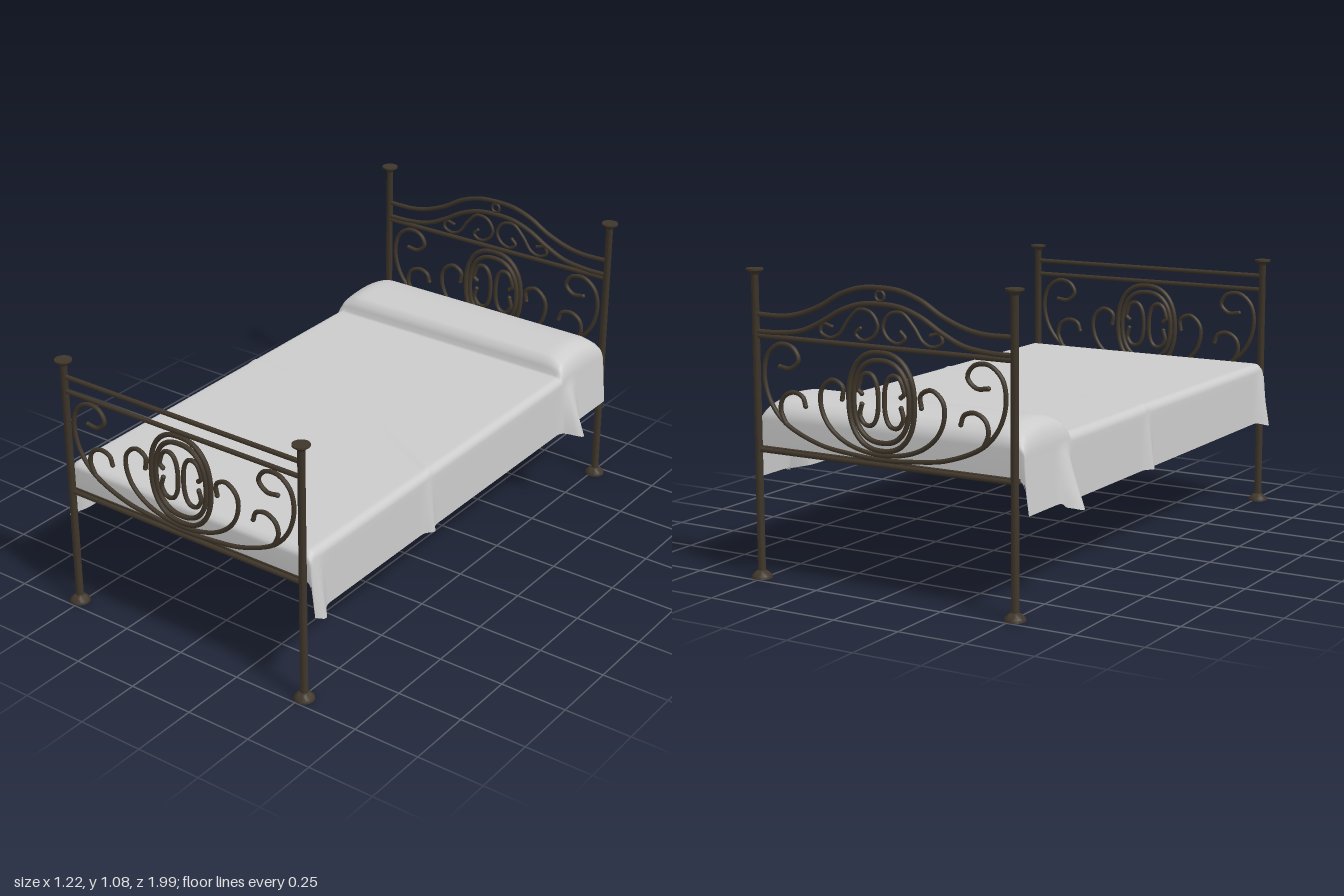
import * as THREE from 'three';
import { toCreasedNormals } from 'three/addons/utils/BufferGeometryUtils.js';

const iron = new THREE.MeshStandardMaterial({ color: 0x40372b });
const cloth = new THREE.MeshStandardMaterial({ color: 0xcccccc, side: THREE.DoubleSide });
const POST_X = 0.51, END_Z = 0.96;

function add(parent, name, geometry, material = iron) {
  const mesh = new THREE.Mesh(geometry, material);
  mesh.name = name;
  parent.add(mesh);
  return mesh;
}

// Bent iron rod through [x, y] points, with rounded tips
function rod(parent, name, points, radius = 0.008, closed = false) {
  const pts = points.map(([x, y]) => new THREE.Vector3(x, y, 0));
  const curve = new THREE.CatmullRomCurve3(pts, closed, 'centripetal');
  add(parent, name, new THREE.TubeGeometry(curve, pts.length * 7, radius, 8, closed));
  if (closed) return;
  for (const p of [pts[0], pts[pts.length - 1]])
    add(parent, name + 'Tip', new THREE.SphereGeometry(radius * 1.1, 8, 6)).position.copy(p);
}

const flip = (pts, s) => pts.map(([x, y]) => [x * s, y]);
// Left half ending on the centre line, completed by its mirror image
const whole = half => [...half, ...flip(half.slice(0, -1).reverse(), -1)];

function oval(cx, cy, rx, ry, from = 0, sweep = Math.PI * 2, n = 24, power = 0.85) {
  const soft = v => Math.sign(v) * Math.abs(v) ** power;
  return Array.from({ length: n }, (_, i) => {
    const a = from + (sweep * i) / (sweep < 6.28 ? n - 1 : n);
    return [cx + rx * soft(Math.cos(a)), cy + ry * soft(Math.sin(a))];
  });
}

function rail(parent, name, y) {
  const mesh = add(parent, name, new THREE.CylinderGeometry(0.009, 0.009, POST_X * 2, 10));
  mesh.rotation.z = Math.PI / 2;
  mesh.position.y = y;
}

// Posts, rails and scrollwork shared by both ends
function bedEnd(name, height) {
  const g = new THREE.Group();
  g.name = name;
  const profile = [[0, 0], [0.037, 0], [0.036, 0.008], [0.024, 0.02], [0.014, 0.027], [0.013, height - 0.022],
    [0.018, height - 0.015], [0.031, height - 0.006], [0.031, height], [0, height]];
  const post = toCreasedNormals(
    new THREE.LatheGeometry(profile.map(p => new THREE.Vector2(...p)), 16), 0.7);
  for (const s of [-1, 1]) add(g, 'post', post).position.x = s * POST_X;
  rail(g, 'bottomRail', 0.455);
  rail(g, 'upperRail', 0.85);

  rod(g, 'largeScroll', whole([[-0.412, 0.751], [-0.367, 0.748], [-0.334, 0.781], [-0.357, 0.82], [-0.412, 0.828],
    [-0.462, 0.79], [-0.478, 0.718], [-0.455, 0.63], [-0.393, 0.558], [-0.255, 0.499], [-0.124, 0.48], [0, 0.473]]));
  rod(g, 'middleScroll', whole([[-0.157, 0.663], [-0.154, 0.705], [-0.196, 0.725], [-0.239, 0.692],
    [-0.245, 0.637], [-0.216, 0.571], [-0.14, 0.515], [0, 0.488]]));
  rod(g, 'outerOval', oval(0, 0.668, 0.13, 0.165), 0.009, true);
  rod(g, 'innerOval', oval(0, 0.668, 0.11, 0.138), 0.009, true);
  for (const s of [-1, 1]) {
    rod(g, 'smallScroll', flip([[-0.308, 0.624], [-0.32, 0.655], [-0.36, 0.667], [-0.4, 0.646],
      [-0.412, 0.604], [-0.393, 0.558]], s));
    // C shape open toward the outside, with tips curled in
    const c = oval(-0.052, 0.672, 0.04, 0.088, 2.85, -5.42, 20);
    rod(g, 'centreScroll', flip([[-0.078, 0.69], ...c, [-0.078, 0.654]], s));
  }
  return g;
}

function headboard() {
  const g = bedEnd('headboard', 1.08);
  rod(g, 'outerArch', whole([[-0.51, 0.924], [-0.4, 0.924], [-0.33, 0.936], [-0.24, 0.97],
    [-0.16, 1.015], [-0.08, 1.041], [0, 1.047]]), 0.009);
  rod(g, 'innerArch', whole([[-0.51, 0.865], [-0.42, 0.866], [-0.32, 0.88], [-0.24, 0.915],
    [-0.16, 0.96], [-0.08, 0.987], [0, 0.993]]), 0.009);
  for (const s of [-1, 1])
    rod(g, 'crestScroll', flip([[-0.195, 0.905], [-0.23, 0.912], [-0.24, 0.885], [-0.205, 0.867], [-0.168, 0.88],
      [-0.13, 0.93], [-0.085, 0.97], [-0.035, 0.962], [-0.01, 0.92], [-0.03, 0.882], [-0.07, 0.868],
      [-0.098, 0.888], [-0.08, 0.908]], s), 0.006);
  add(g, 'crestRing', new THREE.TorusGeometry(0.017, 0.005, 8, 20)).position.y = 1.02;
  return g;
}

const bell = (v, width) => Math.exp(-((v / width) ** 2));

// Blanket draped over mattress and bolster: cross-sections running from foot to head
function blanketGeometry() {
  const rows = [[0.945, 0.46], [0.945, 0.535], [0.938, 0.55], [0.922, 0.56]];
  for (let z = 0.91; z > -0.615; z -= 0.012) rows.push([z, 0.56]);
  rows.push([-0.62, 0.56], [-0.63, 0.565], [-0.632, 0.587], [-0.642, 0.603]);
  for (let z = -0.655; z > -0.9; z -= 0.012)
    rows.push([z, 0.635 - 0.022 * Math.abs((z + 0.77) / 0.13) ** 2.2]);
  rows.push([-0.915, 0.6], [-0.93, 0.58], [-0.935, 0.555], [-0.935, 0.46]);

  // Half section: flat top, rounded edge, then hanging side (f = share of the drop)
  const half = [];
  for (let i = 0; i <= 20; i++) half.push({ x: i * 0.025, low: 0, f: 0 });
  for (let i = 1; i <= 6; i++) {
    const a = (i / 6) * Math.PI / 2;
    half.push({ x: 0.5 + 0.03 * Math.sin(a), low: 0.03 * (1 - Math.cos(a)), f: 0 });
  }
  for (let i = 1; i <= 10; i++) half.push({ x: 0.53, low: 0.03, f: i / 10 });
  const section = [...half.slice(1).reverse().map(p => ({ ...p, s: -1 })), ...half.map(p => ({ ...p, s: 1 }))];

  const pos = [], index = [], n = section.length;
  rows.forEach(([z, top], r) => {
    for (const { x, low, f, s } of section) {
      // Folds at the bolster, the foot corners and one crease per side
      const fold = bell(z + 0.675, 0.032), corner = bell(z - 0.915, 0.03);
      const crease = s > 0 ? bell(z - 0.265, 0.022) : bell(z + 0.07, 0.022);
      const out = 0.005 + 0.075 * fold + 0.035 * corner + 0.025 * crease + (z < -0.7 ? 0.012 : 0);
      const hem = 0.332 - 0.014 * Math.max(fold, corner) + (z < -0.72 ? 0.012 : 0);
      const lift = Math.max(0, top - 0.56);
      const round = Math.sqrt(Math.max(0, 1 - (Math.max(0, x - 0.44) / 0.09) ** 2));
      let y = Math.min(top, 0.56) - low + lift * round;
      if (f > 0) y = THREE.MathUtils.lerp(Math.min(top, 0.53), hem, f);
      else {
        // Shallow diagonal wrinkles running in from the creases
        const line = s > 0 ? 0.08 + (x - 0.2) * 0.54 : -0.03 - (x - 0.15) * 0.1;
        y += 0.004 * bell(z - line, 0.014) * THREE.MathUtils.smoothstep(x, 0.15, 0.5);
      }
      pos.push(s * (x + out * f), y, z);
    }
    if (r === 0) return;
    for (let c = 0; c < n - 1; c++) {
      const a = (r - 1) * n + c, d = r * n + c;
      index.push(a, a + 1, d, a + 1, d + 1, d);
    }
  });
  const geo = new THREE.BufferGeometry();
  geo.setAttribute('position', new THREE.Float32BufferAttribute(pos, 3));
  geo.setIndex(index);
  geo.computeVertexNormals();
  return geo;
}

export function createModel() {
  const bed = new THREE.Group();
  bed.name = 'bed';

  const head = headboard();
  head.position.z = -END_Z;
  const foot = bedEnd('footboard', 0.97);
  rail(foot, 'topRail', 0.905);
  foot.position.z = END_Z;
  bed.add(head, foot);

  // Flat frame under the mattress
  add(bed, 'bedBase', new THREE.BoxGeometry(1.03, 0.016, 1.9)).position.y = 0.456;
  add(bed, 'blanket', blanketGeometry(), cloth);
  return bed;
}
